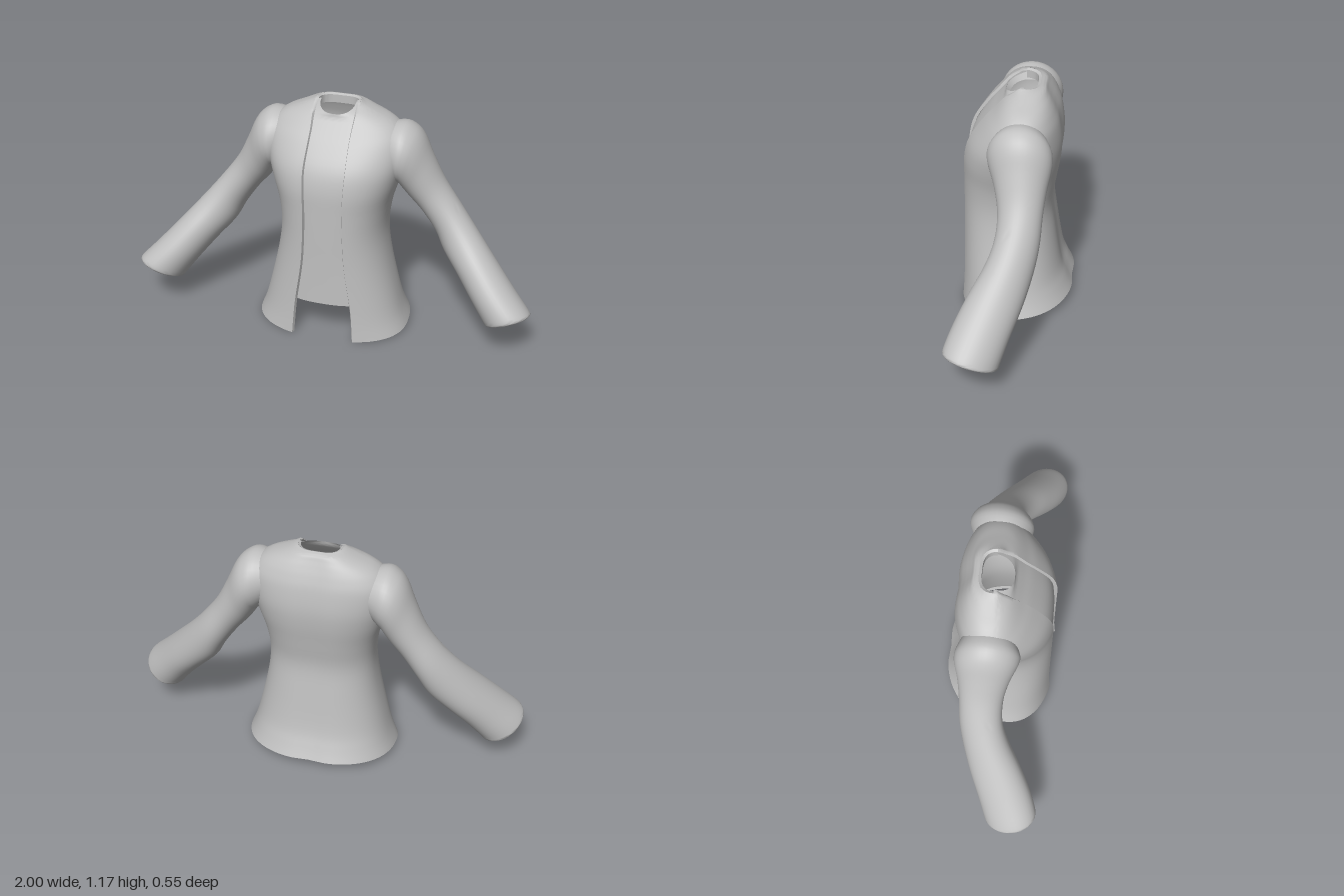
import * as THREE from 'three';
import { toCreasedNormals } from 'three/addons/utils/BufferGeometryUtils.js';

const cloth = new THREE.MeshStandardMaterial({ color: 0xbfbfbf, side: THREE.DoubleSide });
cloth.name = 'grey cloth';

// Surface through a list of equal-length point rows
function loft(name, rows, closed) {
  const n = rows[0].length, pos = [], idx = [];
  rows.forEach(r => r.forEach(p => pos.push(...p)));
  for (let i = 0; i < rows.length - 1; i++) {
    for (let j = 0; j < (closed ? n : n - 1); j++) {
      const k = (j + 1) % n, a = i * n + j, b = i * n + k;
      idx.push(a, b, b + n, a, b + n, a + n);
    }
  }
  const g = new THREE.BufferGeometry();
  g.setAttribute('position', new THREE.Float32BufferAttribute(pos, 3));
  g.setIndex(idx);
  const mesh = new THREE.Mesh(toCreasedNormals(g, 1), cloth);
  mesh.name = name;
  return mesh;
}

// Smoothly interpolates between lists of section numbers
function refine(keys, steps) {
  const out = [];
  const at = i => keys[Math.max(0, Math.min(keys.length - 1, i))];
  for (let i = 0; i < keys.length - 1; i++) {
    for (let s = 0; s < steps; s++) {
      const t = s / steps;
      out.push(keys[i].map((b, k) => {
        const a = at(i - 1)[k], c = at(i + 1)[k], d = at(i + 2)[k];
        return b + 0.5 * t * (c - a + t * (2 * a - 5 * b + 4 * c - d + t * (3 * (b - c) + d - a)));
      }));
    }
  }
  out.push(keys[keys.length - 1]);
  return out;
}

// Torso sections: y, half width, front z, back z, middle z, half opening, tilt
const torso = [
  [0.027, 0.38, 0.283, -0.283, 0.04, 0.155, -0.09],
  [0.10, 0.352, 0.279, -0.255, 0.035, 0.15, -0.06],
  [0.20, 0.325, 0.275, -0.225, 0.03, 0.14, -0.02],
  [0.40, 0.28, 0.271, -0.195, 0.02, 0.11, 0],
  [0.55, 0.262, 0.27, -0.178, 0.01, 0.10, 0],
  [0.68, 0.275, 0.268, -0.195, 0, 0.097, 0],
  [0.80, 0.31, 0.263, -0.214, -0.01, 0.10, 0],
  [0.90, 0.335, 0.235, -0.219, -0.02, 0.103, 0],
  [1.00, 0.34, 0.168, -0.205, -0.03, 0.10, 0],
  [1.06, 0.31, 0.117, -0.185, -0.03, 0.10, 0],
  [1.10, 0.26, 0.085, -0.167, -0.03, 0.103, 0],
  [1.13, 0.195, 0.06, -0.152, -0.03, 0.105, 0],
  [1.155, 0.14, 0.03, -0.138, -0.03, 0.107, 0],
  [1.172, 0.108, 0.02, -0.115, -0.03, 0.108, 0.1],
];
const P = 0.86;

// Point on a torso section, with the angle measured from the front
function torsoPoint([y, w, zf, zb, zc, , tilt], angle, inset = 0) {
  const s = Math.sin(angle), c = Math.cos(angle);
  const x = (w - inset) * Math.sign(s) * Math.abs(s) ** P;
  const depth = (c > 0 ? zf - zc : zc - zb) - inset;
  let z = zc + depth * Math.sign(c) * Math.abs(c) ** P;
  // shallow groove along the spine
  if (c < 0) z += 0.012 * Math.exp(-((x / 0.07) ** 2));
  return [x, y + tilt * (z - zc), z];
}
const edgeAngle = (w, x) => Math.asin(Math.min(1, x / w) ** (1 / P));

// Sleeve sections: upper x, y, lower x, y, front z, back z, depth tilt
const sleeve = [
  [0.20, 1.06, 0.24, 0.85, 0.07, -0.14, 0],
  [0.31, 1.09, 0.30, 0.79, 0.115, -0.18, 0],
  [0.37, 1.07, 0.312, 0.78, 0.115, -0.187, 0],
  [0.415, 1.02, 0.327, 0.755, 0.10, -0.182, 0],
  [0.46, 0.92, 0.36, 0.71, 0.075, -0.167, 0],
  [0.52, 0.80, 0.42, 0.64, 0.055, -0.155, 0],
  [0.60, 0.69, 0.49, 0.54, 0.06, -0.147, 0.01],
  [0.69, 0.58, 0.54, 0.45, 0.095, -0.125, 0.02],
  [0.80, 0.455, 0.62, 0.36, 0.16, -0.085, 0.03],
  [0.91, 0.335, 0.70, 0.265, 0.22, -0.035, 0.035],
  [0.985, 0.258, 0.77, 0.175, 0.257, 0, 0.038],
  [0.998, 0.236, 0.788, 0.152, 0.257, 0.01, 0.038],
  [0.98, 0.23, 0.81, 0.16, 0.238, 0.03, 0.033],
  [0.955, 0.265, 0.78, 0.2, 0.222, 0.02, 0.03],
  [0.885, 0.34, 0.73, 0.285, 0.19, -0.01, 0.03],
];

function sleeveRing([ux, uy, lx, ly, zf, zb, vy], side) {
  return Array.from({ length: 36 }, (_, j) => {
    const a = j / 36 * Math.PI * 2, c = Math.cos(a), s = Math.sin(a);
    return [
      side * ((ux + lx) / 2 + c * (ux - lx) / 2),
      (uy + ly) / 2 + c * (uy - ly) / 2 + s * vy,
      (zf + zb) / 2 + s * (zf - zb) / 2,
    ];
  });
}

export function createModel() {
  const model = new THREE.Group();
  model.name = 'openJacket';

  // Jacket body, open at the front, with its edges and hem folded inwards
  const N = 64, fold = 0.016;
  const bodyRow = (sec, inset) => {
    const a0 = edgeAngle(sec[1], sec[5]), row = [torsoPoint(sec, a0, fold)];
    for (let j = 0; j <= N; j++) {
      row.push(torsoPoint(sec, a0 + (2 * Math.PI - 2 * a0) * j / N, inset));
    }
    row.push(torsoPoint(sec, 2 * Math.PI - a0, fold));
    return row;
  };
  const sections = refine(torso, 4);
  model.add(loft('jacketBody', [bodyRow(sections[0], fold), ...sections.map(s => bodyRow(s, 0))], false));

  // Shirt front seen in the opening
  const shirtKeys = torso.slice(2, 11);
  shirtKeys.push([1.163, 0.104, 0.077, -0.12, -0.03, 0.104, -0.42]);
  const shirtRows = refine(shirtKeys, 4).map(sec => {
    const a = edgeAngle(sec[1] - 0.02, sec[5] + 0.05);
    return Array.from({ length: 25 }, (_, j) => torsoPoint(sec, a * (j / 12 - 1), 0.018));
  });
  model.add(loft('shirtFront', shirtRows, false));

  // Collar band lining the back and sides of the neck
  const collarRows = [[1.172, 0], [1.165, 0.012], [1.125, 0.012]].map(([y, inset]) => {
    const sec = [y, 0.108, 0.07, -0.115, -0.03, 0, 0.1];
    return Array.from({ length: 25 }, (_, j) => torsoPoint(sec, Math.PI * (0.5 + j / 24), inset));
  });
  model.add(loft('neckBand', collarRows, false));

  // Sleeves with turned-in cuffs
  for (const side of [1, -1]) {
    const rings = refine(sleeve, 4).map(s => sleeveRing(s, side));
    model.add(loft(side > 0 ? 'leftSleeve' : 'rightSleeve', rings, true));
  }
  return model;
}
